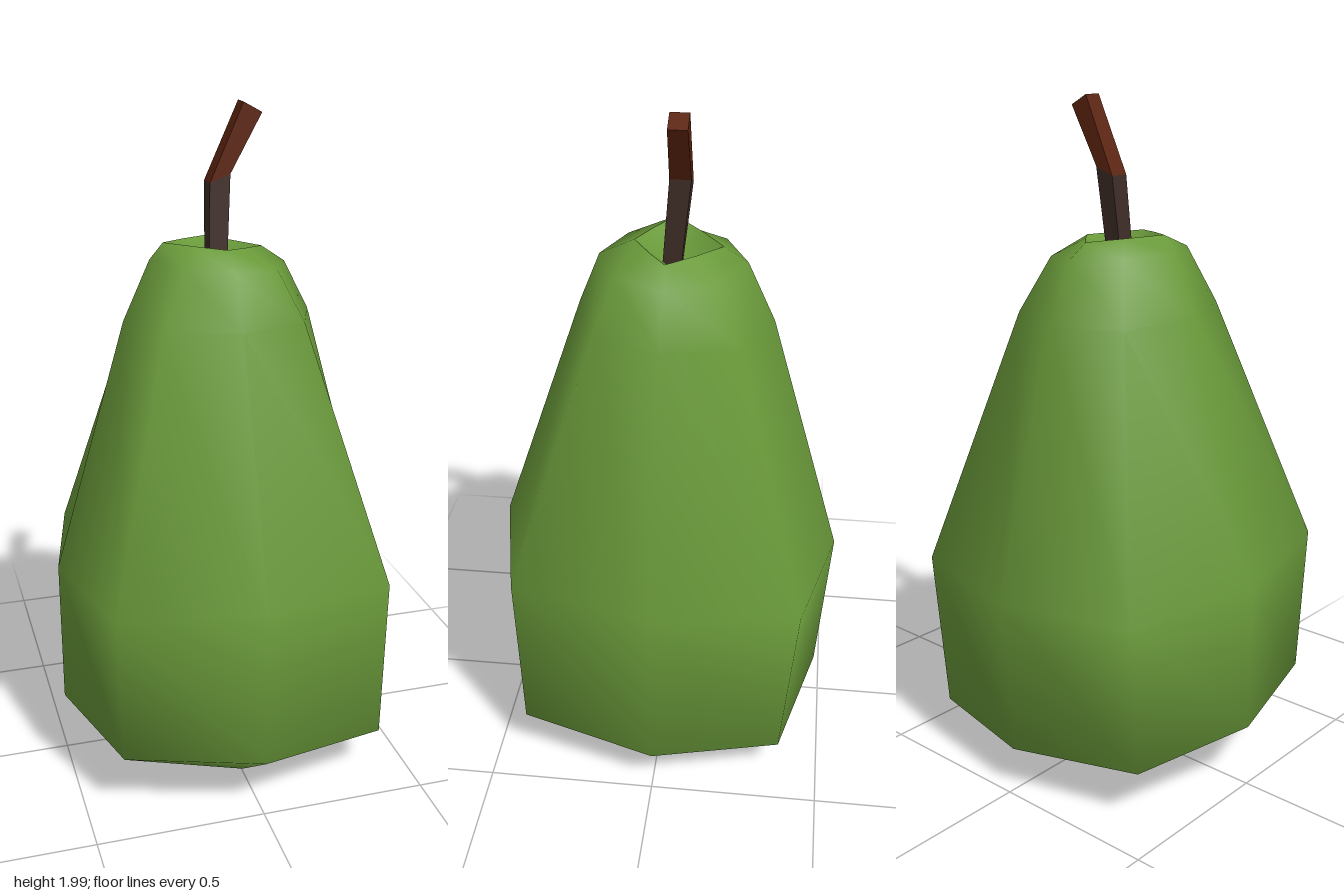
import * as THREE from 'three';

const green = new THREE.MeshStandardMaterial({ name: 'pearGreen', color: 0x6a9a3a });
const brown = new THREE.MeshStandardMaterial({ name: 'stemBrown', color: 0x5c240f, flatShading: true });
const dark = new THREE.MeshStandardMaterial({ name: 'stemDark', color: 0x3f2e28, flatShading: true });

// Eight-point ring: radii towards +x, +z, -x, -z, a corner factor and a tilt
function ring(y, right, front, left, back, corner, tiltX = 0, tiltZ = 0) {
  const axis = [[right, 0], [0, front], [-left, 0], [0, -back]];
  const points = [];
  for (let i = 0; i < 4; i++) {
    const a = axis[i], b = axis[(i + 1) % 4];
    points.push(a, [(a[0] + b[0]) * corner, (a[1] + b[1]) * corner]);
  }
  return points.map(([x, z]) => [x, y + tiltX * x + tiltZ * z, z]);
}

// Square cross-section of the stem
function square(x, y, z, half, tilt) {
  return [[1, -1], [1, 1], [-1, 1], [-1, -1]].map(
    ([i, k]) => [x + i * half, y + i * half * tilt, z + k * half]);
}

// Joins rings from bottom to top; a one-point ring closes the end
function loft(name, rings, material) {
  const positions = [], index = [], starts = [];
  for (const r of rings) {
    starts.push(positions.length / 3);
    r.forEach(p => positions.push(...p));
  }
  for (let i = 0; i + 1 < rings.length; i++) {
    const lo = rings[i].length, hi = rings[i + 1].length, n = Math.max(lo, hi);
    for (let j = 0; j < n; j++) {
      const k = (j + 1) % n;
      const a = starts[i] + j % lo, b = starts[i] + k % lo;
      const c = starts[i + 1] + j % hi, d = starts[i + 1] + k % hi;
      if (hi > 1) index.push(a, c, d);
      if (lo > 1) index.push(a, hi > 1 ? d : c, b);
    }
  }
  const geometry = new THREE.BufferGeometry();
  geometry.setAttribute('position', new THREE.Float32BufferAttribute(positions, 3));
  geometry.setIndex(index);
  geometry.computeVertexNormals();
  const mesh = new THREE.Mesh(geometry, material);
  mesh.name = name;
  return mesh;
}

export function createModel() {
  const group = new THREE.Group();
  group.name = 'pear';

  // Fruit body, smooth from the base rim to the top rim
  const baseRim = ring(0.014, 0.27, 0.28, 0.23, 0.23, 0.7, -0.01, 0.01);
  const topRim = ring(1.606, 0.13, 0.1, 0.16, 0.15, 0.52, -0.09, 0.04);
  group.add(loft('body', [
    baseRim,
    ring(0.17, 0.5, 0.515, 0.5, 0.48, 0.79, -0.06, 0.05),
    ring(0.65, 0.485, 0.515, 0.5, 0.517, 0.82, 0, 0.05),
    ring(1.4, 0.275, 0.26, 0.28, 0.3, 0.73, 0, 0.06),
    ring(1.56, 0.2, 0.2, 0.2, 0.22, 0.68, -0.07, 0.02),
    topRim,
  ], green));

  // Sunken ends
  group.add(loft('topHollow', [topRim, [[-0.01, 1.52, -0.01]]], green));
  group.add(loft('baseHollow', [[[0.01, 0.1, 0.01]], baseRim], green));

  // Bent stem
  const bend = square(0.008, 1.79, -0.032, 0.03, 0.4);
  group.add(loft('stemBase', [square(-0.005, 1.51, -0.004, 0.026, 0), bend], dark));
  group.add(loft('stemTip', [
    bend,
    square(0.104, 1.982, -0.034, 0.027, -0.55),
    [[0.104, 1.982, -0.034]],
  ], brown));
  return group;
}
